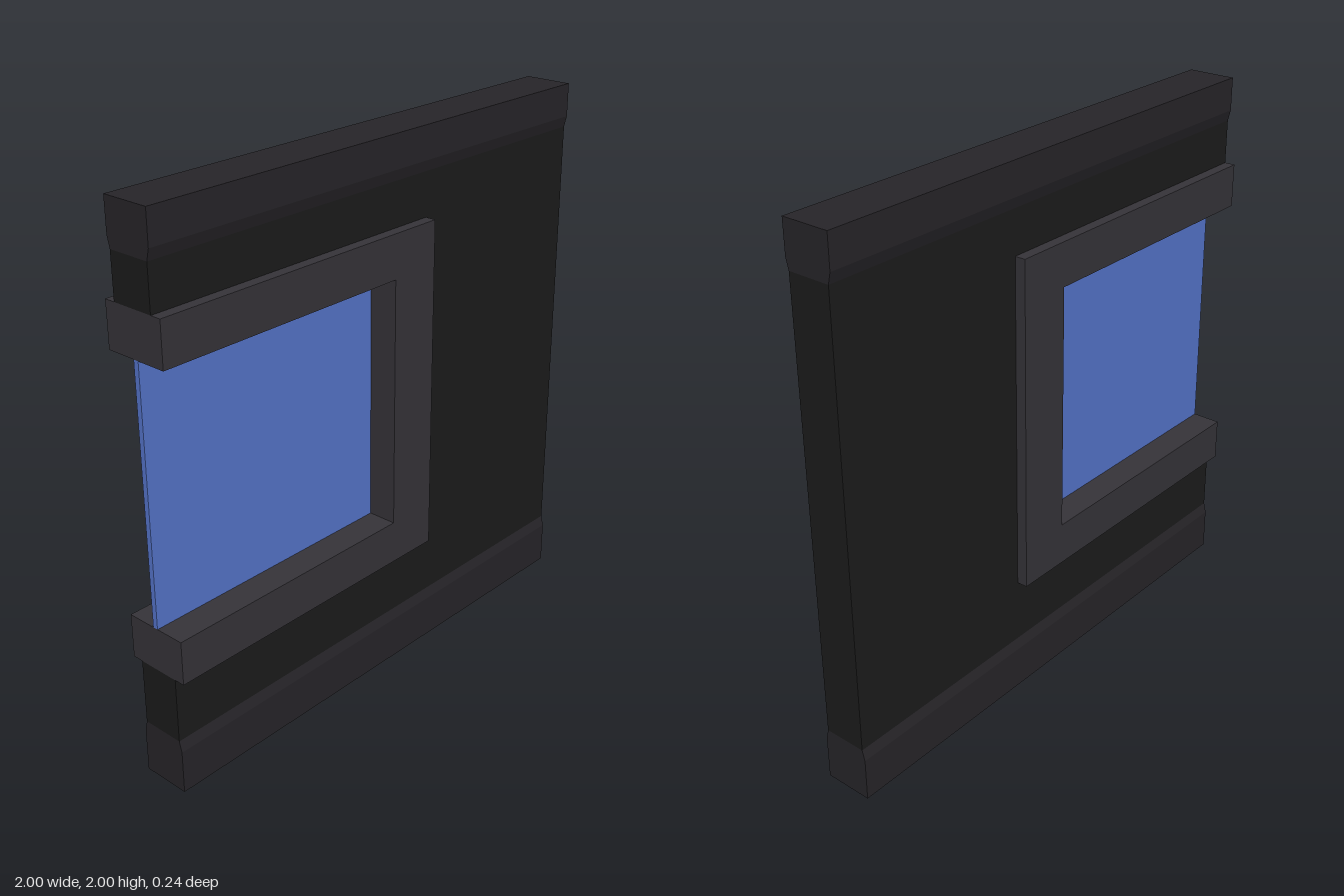
import * as THREE from 'three';

const mat = (color) => new THREE.MeshStandardMaterial({ color, flatShading: true });

// Extrude a closed outline of [x, y] points, centred on its depth
function extrude(points, depth) {
  const shape = new THREE.Shape(points.map(([x, y]) => new THREE.Vector2(x, y)));
  const geo = new THREE.ExtrudeGeometry(shape, { depth, bevelEnabled: false });
  return geo.translate(0, 0, -depth / 2);
}

// C-shaped outline, open toward -x: outer edge (x1, y0..y1), notch (x2, n0..n1)
const cShape = (x1, y0, y1, x2, n0, n1) => [
  [-1, y0], [x1, y0], [x1, y1], [-1, y1],
  [-1, n1], [x2, n1], [x2, n0], [-1, n0],
];

export function createModel() {
  const group = new THREE.Group();
  const add = (name, geo, material) => {
    const mesh = new THREE.Mesh(geo, material);
    mesh.name = name;
    group.add(mesh);
    return mesh;
  };
  const railMat = mat(0x272529);

  // Wall panel, notched where the window frame sits
  add('wallPanel', extrude(cShape(1, 0.2, 1.84, 0.21, 0.44, 1.68), 0.16), mat(0x1c1c1c));

  // Window frame, standing proud of the wall on both faces
  add('windowFrame', extrude(cShape(0.21, 0.44, 1.68, 0.01, 0.6, 1.52), 0.24), mat(0x363439));

  // Thin glass pane in the middle of the frame
  const glass = new THREE.BoxGeometry(1.01, 0.92, 0.02);
  add('windowGlass', glass, mat(0x5675cc)).position.set(-0.495, 1.06, 0);

  // Rails along the bottom and top, sloping in to meet the wall
  const rail = (y, edge, lip) => extrude(
    [[-0.09, y], [0.09, y], [0.09, edge], [0.08, lip], [-0.08, lip], [-0.09, edge]], 2,
  ).rotateY(Math.PI / 2);
  add('bottomRail', rail(0, 0.16, 0.2), railMat);
  add('topRail', rail(2, 1.88, 1.84), railMat);

  return group;
}
